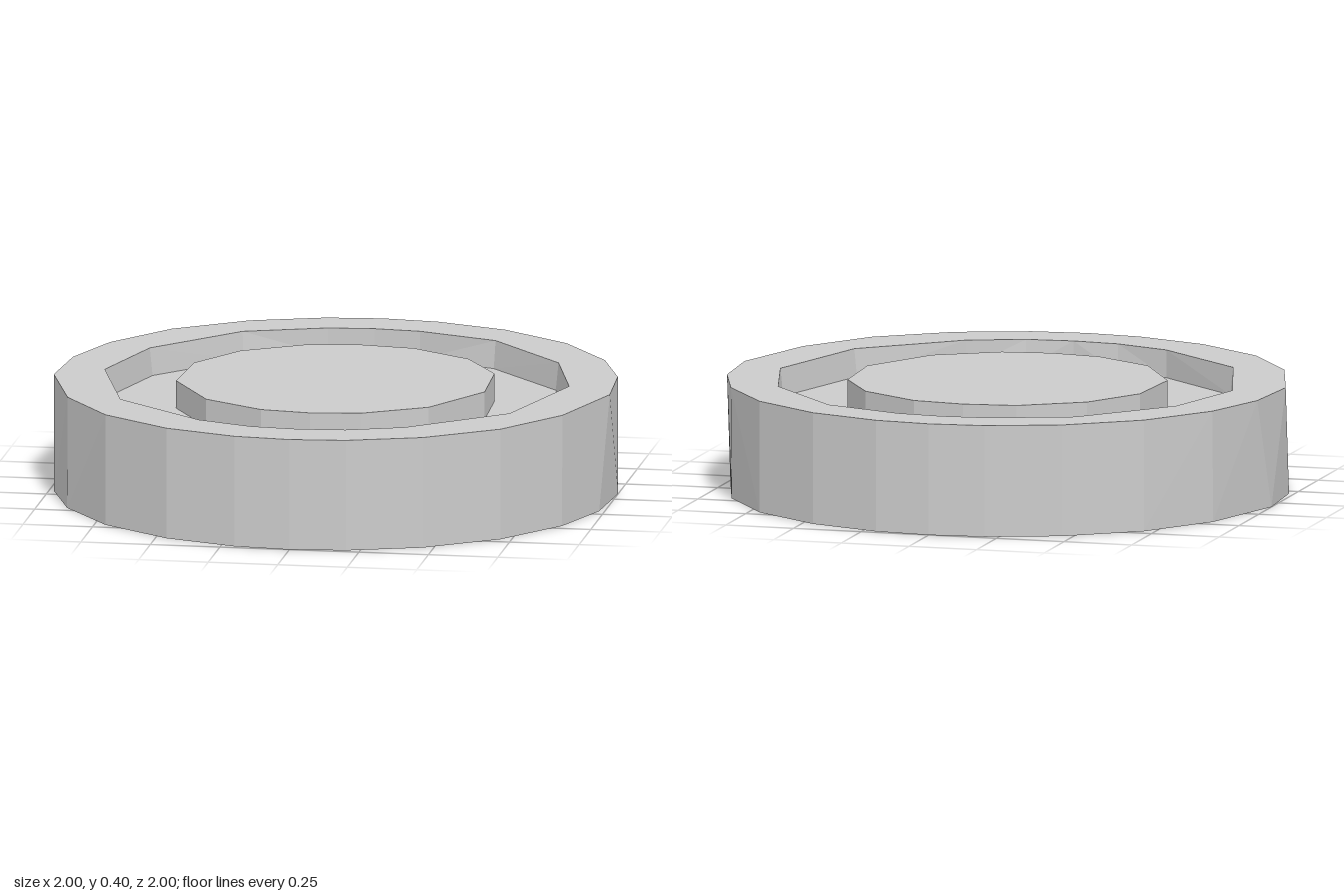
import * as THREE from 'three';
import { mergeGeometries } from 'three/addons/utils/BufferGeometryUtils.js';

// Right half of an outline ([x, z] from back to front), mirrored to a closed loop
const mirror = (half) => [...half, ...half.slice(1, -1).reverse().map(([x, z]) => [-x, z])];
// The underside outlines are the top ones turned front to back
const flip = (half) => half.map(([x, z]) => [x, -z]).reverse();

const rimTop = [[0, -1], [0.2, -0.98], [0.46, -0.89], [0.71, -0.71], [0.89, -0.46], [0.98, -0.2],
  [1, 0.09], [0.89, 0.45], [0.71, 0.71], [0.46, 0.89], [0.2, 0.98], [0, 1]];
const rimBottom = flip(rimTop);
// Keep corresponding corners at the sides paired (both loops have the same count)
const grooveTop = [[0, -0.83], [0.165, -0.815], [0.455, -0.71], [0.735, -0.39], [0.835, -0.02],
  [0.7, 0.45], [0.37, 0.735], [0.17, 0.81], [0, 0.825]];
const grooveFloor = [[0, -0.83], [0.165, -0.815], [0.45, -0.7], [0.725, -0.39], [0.825, -0.02],
  [0.69, 0.45], [0.37, 0.735], [0.17, 0.8], [0, 0.825]];
const hubOutline = [[0, -0.565], [0.19, -0.54], [0.41, -0.4], [0.54, -0.18], [0.555, 0.12],
  [0.4, 0.4], [0.18, 0.535], [0, 0.56]];

const HEIGHT = 0.4, DEPTH = 0.1;

// Wall between a lower and an upper outline
function wall(lowerHalf, upperHalf, y0, y1, inward = false) {
  const low = mirror(lowerHalf), up = mirror(upperHalf), n = low.length, pos = [];
  for (let i = 0; i < n; i++) {
    const j = (i + 1) % n;
    const a = [low[i][0], y0, low[i][1]], b = [low[j][0], y0, low[j][1]];
    const c = [up[i][0], y1, up[i][1]], d = [up[j][0], y1, up[j][1]];
    const tris = i < n / 2 ? [[a, c, d], [a, d, b]] : [[a, c, b], [b, c, d]];
    for (const [p, q, r] of tris) pos.push(...p, ...(inward ? r : q), ...(inward ? q : r));
  }
  const geo = new THREE.BufferGeometry();
  geo.setAttribute('position', new THREE.Float32BufferAttribute(pos, 3));
  geo.computeVertexNormals();
  return geo;
}

// Flat face at height y, optionally with a hole, facing up or down
function face(outerHalf, holeHalf, y, facesUp) {
  const s = facesUp ? -1 : 1;
  const points = (half) => mirror(half).map(([x, z]) => new THREE.Vector2(x, s * z));
  const shape = new THREE.Shape(points(outerHalf));
  if (holeHalf) shape.holes.push(new THREE.Path(points(holeHalf)));
  const geo = new THREE.ShapeGeometry(shape).toNonIndexed();
  geo.deleteAttribute('uv');
  return geo.rotateX(s * Math.PI / 2).translate(0, y, 0);
}

export function createModel() {
  const group = new THREE.Group();
  const material = new THREE.MeshStandardMaterial({ color: 0xcccccc, flatShading: true });
  const add = (name, parts) => {
    const mesh = new THREE.Mesh(mergeGeometries(parts), material);
    mesh.name = name;
    group.add(mesh);
  };
  const webTop = HEIGHT - DEPTH, webBottom = DEPTH;
  const hubBottom = flip(hubOutline);

  // Outer rim with its inner groove walls
  add('rim', [
    wall(rimBottom, rimTop, 0, HEIGHT),
    face(rimTop, grooveTop, HEIGHT, true),
    face(rimBottom, flip(grooveTop), 0, false),
    wall(grooveFloor, grooveTop, webTop, HEIGHT, true),
    wall(flip(grooveTop), flip(grooveFloor), 0, webBottom, true),
  ]);

  // Recessed web joining rim and hub
  add('web', [
    face(grooveFloor, hubOutline, webTop, true),
    face(flip(grooveFloor), hubBottom, webBottom, false),
  ]);

  // Raised central hub on both sides
  add('hub', [
    wall(hubOutline, hubOutline, webTop, HEIGHT),
    face(hubOutline, null, HEIGHT, true),
    wall(hubBottom, hubBottom, 0, webBottom),
    face(hubBottom, null, 0, false),
  ]);

  return group;
}
